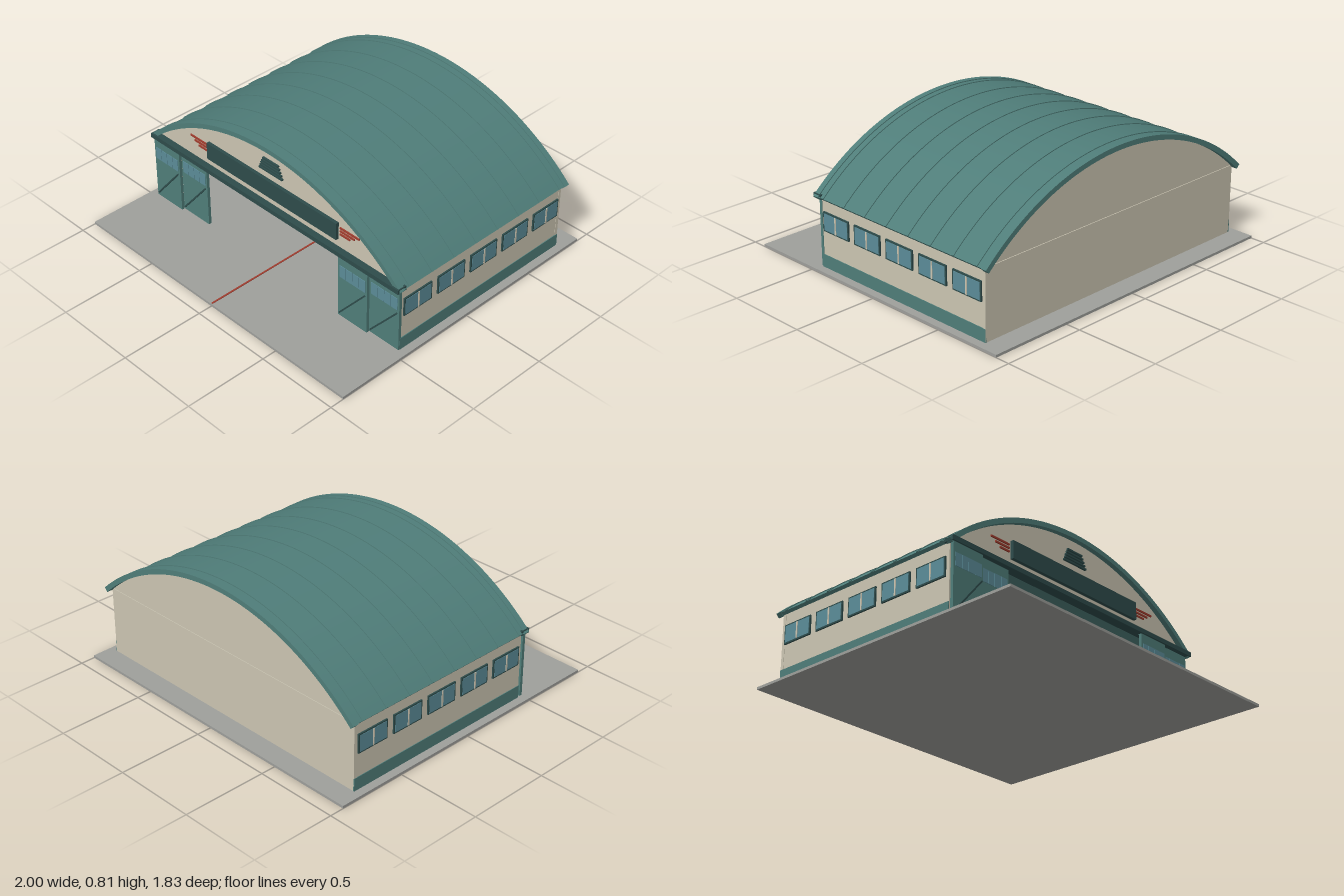
import * as THREE from 'three';
import { toCreasedNormals } from 'three/addons/utils/BufferGeometryUtils.js';

const RADIUS = 1.414, CENTRE_Y = -0.604, HALF_ANGLE = 0.756; // roof arc
const FLOOR = 0.015, EAVE = 0.42;

function material(name, color) {
  const m = new THREE.MeshStandardMaterial({ color });
  m.name = name;
  return m;
}

export function createModel() {
  const teal = material('teal', 0x4f7d79);
  const dark = material('dark teal', 0x2e4c4b);
  const cream = material('cream', 0xcbc5b2);
  const glass = material('glass blue', 0x5b8c98);
  const red = material('red', 0xa03c2e);
  const concrete = material('concrete', 0x9e9f9b);

  const model = new THREE.Group();
  model.name = 'hangar';

  function add(name, geometry, mat, parent = model) {
    const mesh = new THREE.Mesh(geometry, mat);
    mesh.name = name;
    parent.add(mesh);
    return mesh;
  }
  // Box given by its limits on each axis
  function box(name, mat, [x0, x1], [y0, y1], [z0, z1], parent) {
    const mesh = add(name, new THREE.BoxGeometry(x1 - x0, y1 - y0, z1 - z0), mat, parent);
    mesh.position.set((x0 + x1) / 2, (y0 + y1) / 2, (z0 + z1) / 2);
    return mesh;
  }
  // Curved strip following the roof arc between two radii
  function arch(name, mat, rIn, rOut, z0, z1, halfAngle = HALF_ANGLE) {
    const a0 = Math.PI / 2 - halfAngle, a1 = Math.PI / 2 + halfAngle;
    const shape = new THREE.Shape();
    shape.absarc(0, CENTRE_Y, rOut, a0, a1, false);
    shape.absarc(0, CENTRE_Y, rIn, a1, a0, true);
    shape.closePath();
    const geo = new THREE.ExtrudeGeometry(shape, { depth: z1 - z0, bevelEnabled: false, curveSegments: 40 });
    geo.translate(0, 0, z0);
    return add(name, toCreasedNormals(geo, 0.5), mat);
  }
  // Wall piece filling the space under the arc
  function gable(name, z0, z1) {
    const r = RADIUS - 0.015, a = Math.asin(0.95 / r);
    const shape = new THREE.Shape();
    shape.absarc(0, CENTRE_Y, r, Math.PI / 2 - a, Math.PI / 2 + a, false);
    shape.closePath();
    const geo = new THREE.ExtrudeGeometry(shape, { depth: z1 - z0, bevelEnabled: false, curveSegments: 40 });
    geo.translate(0, 0, z0);
    add(name, geo, cream);
  }

  // Ground slab and centre line
  box('groundSlab', concrete, [-1, 1], [0, FLOOR], [-0.915, 0.915]);
  box('centreLine', red, [-0.005, 0.005], [FLOOR, FLOOR + 0.003], [0.08, 0.91]);

  // Back wall and gables
  box('backWall', cream, [-0.95, 0.95], [FLOOR, EAVE], [-0.79, -0.77]);
  gable('backGable', -0.79, -0.77);
  gable('frontGable', 0.44, 0.46);

  // Side walls with skirting and windows
  for (const s of [1, -1]) {
    const side = new THREE.Group();
    side.name = s > 0 ? 'leftSide' : 'rightSide';
    model.add(side);
    const span = (a, b) => (s > 0 ? [a, b] : [-b, -a]);
    box('sideWall', cream, span(0.93, 0.948), [FLOOR, EAVE], [-0.77, 0.46], side);
    box('skirting', teal, span(0.945, 0.952), [FLOOR, 0.09], [-0.79, 0.46], side);
    for (let i = 0; i < 5; i++) {
      const z = 0.336 - i * 0.25;
      box('windowFrame', dark, span(0.945, 0.957), [0.232, 0.345], [z - 0.102, z + 0.102], side);
      box('windowGlass', glass, span(0.955, 0.959), [0.24, 0.337], [z - 0.094, z + 0.094], side);
      box('windowMullion', cream, span(0.956, 0.962), [0.24, 0.337], [z - 0.005, z + 0.005], side);
    }
  }

  // Curved roof, end trims and ribs
  arch('roof', teal, RADIUS - 0.02, RADIUS, -0.81, 0.475);
  arch('frontTrim', teal, RADIUS - 0.024, RADIUS + 0.005, 0.455, 0.49, HALF_ANGLE + 0.003);
  arch('backTrim', teal, RADIUS - 0.024, RADIUS + 0.005, -0.822, -0.787, HALF_ANGLE + 0.003);
  for (let i = 0; i < 8; i++) {
    const z = 0.418 - i * 0.167;
    arch('roofRib', teal, RADIUS - 0.005, RADIUS + 0.005, z - 0.005, z + 0.005);
  }

  // Door track beam across the front
  box('doorTrack', dark, [-0.967, 0.967], [0.413, 0.44], [0.44, 0.5]);

  // Sliding door leaves: the left leaf of each pair runs on the front track
  function doorLeaf(x, z) {
    const door = new THREE.Group();
    door.name = 'doorLeaf';
    door.position.set(x, 0, z);
    model.add(door);
    box('doorPanel', teal, [-0.106, 0.106], [FLOOR + 0.003, 0.415], [-0.018, 0], door);
    for (let i = 0; i < 4; i++) {
      const px = -0.071 + i * 0.0475;
      box('doorPane', glass, [px - 0.0225, px + 0.0225], [0.28, 0.355], [-0.001, 0.003], door);
      box('innerPane', glass, [px - 0.0225, px + 0.0225], [0.28, 0.355], [-0.021, -0.017], door);
    }
    const dx = 0.186, dy = 0.222;
    const brace = add('doorBrace', new THREE.BoxGeometry(Math.hypot(dx, dy), 0.009, 0.01), dark, door);
    brace.position.set(0, 0.149, 0.003);
    brace.rotation.z = Math.atan2(dy, dx);
  }
  for (const x of [-0.74, 0.74]) {
    doorLeaf(x - 0.105, 0.49);
    doorLeaf(x + 0.105, 0.47);
  }

  // Blank sign board on the front gable
  box('signBoard', dark, [-0.503, 0.503], [0.49, 0.595], [0.455, 0.48]);

  // Speed stripes beside the sign
  [0.655, 0.622, 0.588].forEach((end, i) => {
    const y = 0.568 - i * 0.02;
    for (const s of [1, -1]) {
      const xs = s > 0 ? [0.517, end] : [-end, -0.517];
      box('stripe', red, xs, [y - 0.005, y + 0.005], [0.458, 0.467]);
    }
  });

  // Stepped vent slats near the top
  for (let i = 0; i < 5; i++) {
    const w = 0.06 + i * 0.0075, y = 0.718 - i * 0.0175;
    box('ventSlat', dark, [-w, w], [y - 0.005, y + 0.005], [0.455, 0.472]);
  }

  return model;
}
